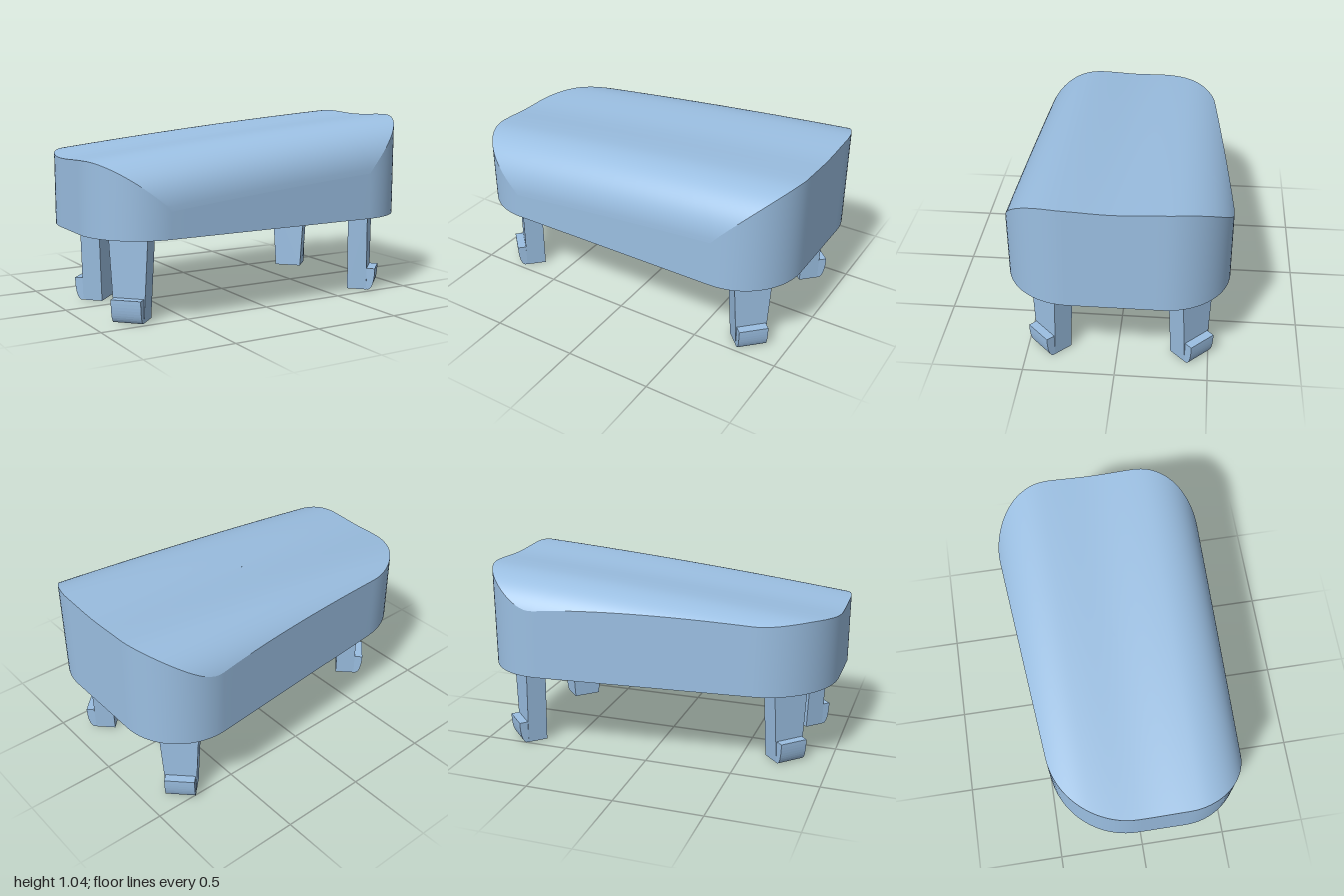
import * as THREE from 'three';

const RIM_Y = 0.463, WALL = 0.1, ROOF = 0.075;
const H = Math.PI / 2, LEAN = 0.092; // the back edge runs slightly slanted

// Corner circles of the outline: x, z, radius, start angle, end angle
const CORNERS = [
  [0.64, 0.24, 0.36, 0, H],
  [-0.64, 0.24, 0.36, H, 2 * H],
  [-0.55, -0.04, 0.45, 2 * H, 3 * H - LEAN],
  [0.65, -0.25, 0.35, 3 * H - LEAN, 4 * H],
];

// Rounded outline, moved inwards by an offset, with subdivided straight runs
function outline(offset) {
  const arcs = CORNERS.map(([x, z, r, a, b]) => {
    const pts = [];
    for (let i = 0; i <= 20; i++) {
      const t = a + (b - a) * i / 20;
      pts.push([x + (r - offset) * Math.cos(t), z + (r - offset) * Math.sin(t)]);
    }
    return pts;
  });
  const out = [];
  arcs.forEach((arc, k) => {
    out.push(...arc);
    const p = arc[20], q = arcs[(k + 1) % 4][0];
    for (let i = 1; i < 16; i++) out.push([p[0] + (q[0] - p[0]) * i / 16, p[1] + (q[1] - p[1]) * i / 16]);
  });
  return out;
}

// Height of the sloping surface: shallow dish in the middle, rolled front and
// back; wall and roof move it inwards by the shell thickness
function surfaceHeight(x, z, wall, roof) {
  const y = 0.963 + 0.0925 * x - 0.0125 * x * x - roof;
  const a = Math.abs(z), start = 0.29;
  if (a < start) return y - 0.0055 * (1 + Math.cos(Math.PI * z / start));
  const t = Math.min(1, (a - start) / ((z > 0 ? 0.31 : 0.336) - wall));
  return y - (0.29 - roof) * (1 - Math.pow(1 - Math.pow(t, 2.2), 1 / 2.2));
}

// Skin joining successive closed loops of [x, y, z]
function loft(loops) {
  const n = loops[0].length, index = [];
  for (let k = 0; k < loops.length - 1; k++) {
    for (let i = 0; i < n; i++) {
      const a = k * n + i, b = k * n + (i + 1) % n;
      index.push(a, a + n, b, b, a + n, b + n);
    }
  }
  const g = new THREE.BufferGeometry();
  g.setAttribute('position', new THREE.Float32BufferAttribute(loops.flat(2), 3));
  g.setIndex(index);
  g.computeVertexNormals();
  return g;
}

// Loops shrinking from an outline to the centre, dense near the edge
function cap(points, wall, roof) {
  const loops = [];
  for (let k = 0; k <= 32; k++) {
    const s = Math.max(0.001, Math.cos(k / 32 * H));
    loops.push(points.map(([x, z]) => [x * s, surfaceHeight(x * s, z * s, wall, roof), z * s]));
  }
  return loops;
}

export function createModel() {
  const model = new THREE.Group();
  const blue = new THREE.MeshStandardMaterial({ color: 0x9bbfe2 });
  blue.name = 'soft blue';
  const add = (parent, geometry, name) => {
    const mesh = new THREE.Mesh(geometry, blue);
    mesh.name = name;
    parent.add(mesh);
  };

  // Hollow shell
  const shell = new THREE.Group();
  shell.name = 'shell';
  model.add(shell);
  const outer = outline(0), inner = outline(WALL);
  const top = cap(outer, 0, 0);
  const ceiling = cap(inner, WALL, ROOF).reverse();
  const flat = (pts) => pts.map(([x, z]) => [x, RIM_Y, z]);
  add(shell, loft(top), 'top');
  add(shell, loft([flat(outer), top[0]]), 'outerWall');
  add(shell, loft([flat(inner), flat(outer)]), 'bottomRim');
  add(shell, loft([ceiling[ceiling.length - 1], flat(inner)]), 'innerWall');
  add(shell, loft(ceiling), 'ceiling');

  // Tapered clip leg, facing outwards along +z
  const thick = 0.115;
  const legShape = new THREE.Shape();
  legShape.moveTo(-0.083, 0);
  legShape.lineTo(0.083, 0);
  legShape.lineTo(0.11, RIM_Y);
  legShape.lineTo(-0.11, RIM_Y);
  legShape.closePath();
  const legGeo = new THREE.ExtrudeGeometry(legShape, { depth: thick, bevelEnabled: false });
  legGeo.translate(0, 0, -thick / 2);

  // Hook at the foot with a rounded underside
  const hookShape = new THREE.Shape();
  hookShape.moveTo(-0.02, 0.001);
  hookShape.lineTo(0.014, 0.001);
  hookShape.bezierCurveTo(0.037, 0.01, 0.049, 0.06, 0.049, 0.13);
  hookShape.lineTo(-0.02, 0.13);
  hookShape.closePath();
  const hookGeo = new THREE.ExtrudeGeometry(hookShape, { depth: 0.167, bevelEnabled: false, curveSegments: 10 });
  hookGeo.rotateY(-H);
  hookGeo.translate(0.0835, 0, thick / 2);

  // One leg in each corner, turned diagonally outwards
  const legs = [
    ['frontLeftLeg', 0.762, 0.36, 1, 1],
    ['frontRightLeg', -0.757, 0.36, -1, 1],
    ['backLeftLeg', 0.762, -0.392, 1, -1],
    ['backRightLeg', -0.728, -0.188, -1, -1],
  ];
  for (const [name, x, z, dx, dz] of legs) {
    const leg = new THREE.Group();
    leg.name = name;
    leg.position.set(x, 0, z);
    leg.rotation.y = Math.atan2(dx, dz);
    add(leg, legGeo, 'post');
    add(leg, hookGeo, 'hook');
    model.add(leg);
  }
  return model;
}
